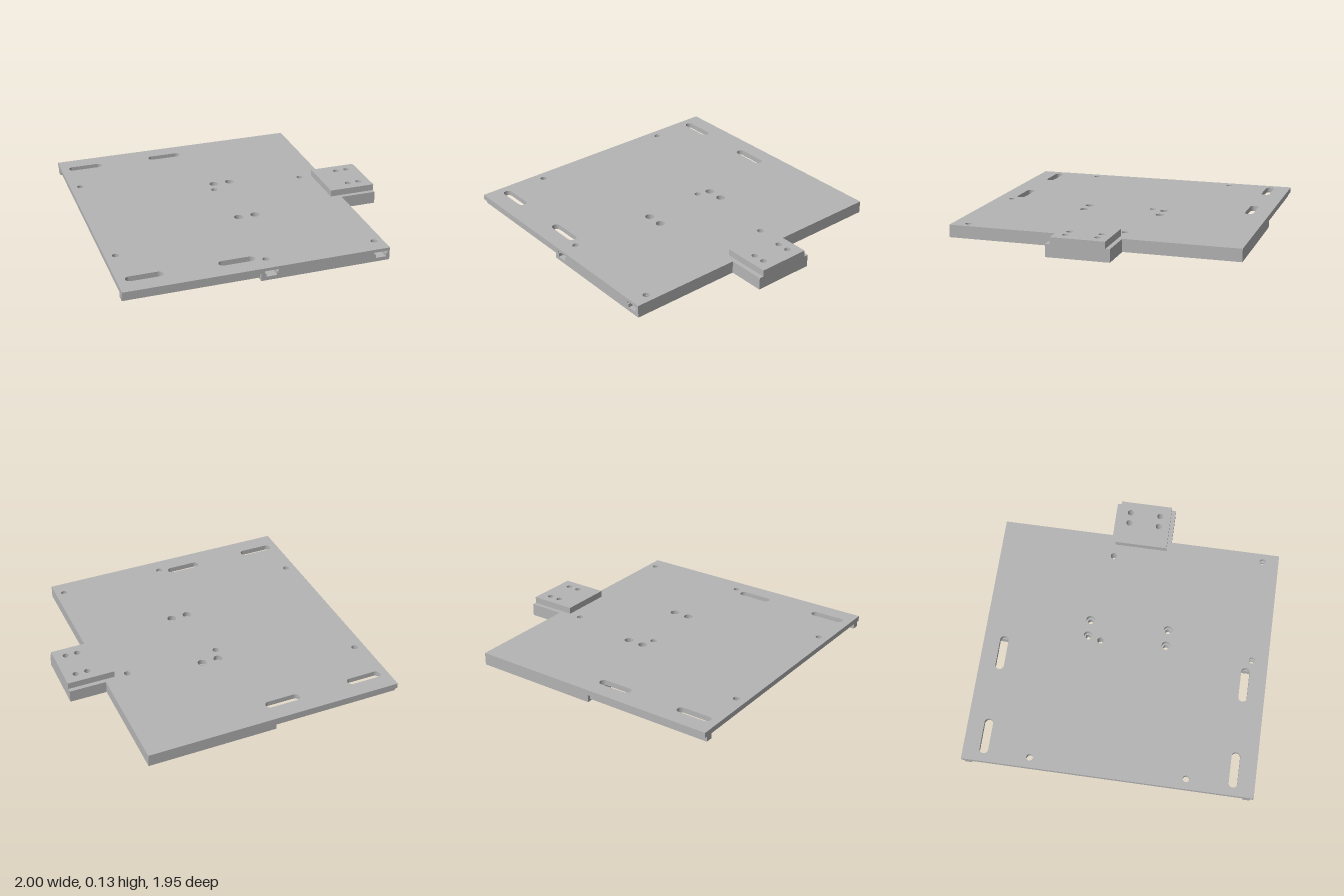
import * as THREE from 'three';

const STEP = -0.12, BACK = -1, EDGE = 0.75, HALF = 0.975;

const circle = (x, z, r) => new THREE.Path().absarc(x, -z, r, 0, Math.PI * 2, true);

// Elongated hole running along x
function slot(x, z, halfLength, r) {
  const p = new THREE.Path();
  p.absarc(x + halfLength, -z, r, -Math.PI / 2, Math.PI / 2, false);
  p.absarc(x - halfLength, -z, r, Math.PI / 2, Math.PI * 1.5, false);
  p.closePath();
  return p;
}

// Flat slab from an outline in [x, z], with holes, between two heights
function slab(name, outline, holes, y0, y1, material) {
  const shape = new THREE.Shape(outline.map(([x, z]) => new THREE.Vector2(x, -z)));
  shape.holes = holes;
  const geo = new THREE.ExtrudeGeometry(shape, { depth: y1 - y0, bevelEnabled: false, curveSegments: 16 });
  geo.rotateX(-Math.PI / 2).translate(0, y0, 0);
  const mesh = new THREE.Mesh(geo, material);
  mesh.name = name;
  return mesh;
}

// Nut pocket cut into the front edge, with a pointed inner end
const pocket = (x, w) => [
  [x - w, HALF], [x - w, 0.845], [x, 0.81], [x + w, 0.845], [x + w, HALF],
];

// Plate outline with the side tab and optional front pockets of half-width w
function outline(x0, w) {
  const front = w ? [...pocket(-0.05, w), ...pocket(0.69, w)] : [];
  return [
    [x0, HALF], ...front, [EDGE, HALF], [EDGE, 0.21], [1, 0.21],
    [1, -0.21], [EDGE, -0.21], [EDGE, -HALF], [x0, -HALF],
  ];
}

export function createModel() {
  const model = new THREE.Group();
  model.name = 'mountingPlate';
  const grey = new THREE.MeshStandardMaterial({ color: 0xb4b4b4 });
  grey.name = 'plain grey';

  // Hole patterns
  const tabHoles = () => [0.84, 0.92].flatMap((x) => [-0.105, 0.105].map((z) => circle(x, z, 0.021)));
  const centreHoles = (r) => [-0.025, 0.09].flatMap((x) => [-0.27, 0.27].map((z) => circle(x, z, r)));
  const backBolts = () => [-0.05, 0.59].map((x) => circle(x, -0.18, 0.022));
  const frontBolts = () => [-0.05, 0.69].map((x) => circle(x, 0.865, 0.022));
  const sideBolts = () => [-0.525, 0.52].map((z) => circle(-0.93, z, 0.022));
  const slots = () => [-0.825, -0.23].flatMap((x) => [-0.835, 0.83].map((z) => slot(x, z, 0.091, 0.029)));
  const underPockets = () => [circle(0.585, -0.29, 0.04), circle(-0.085, -0.245, 0.026)];

  // Thick half of the plate, below the thin half
  model.add(slab('lowerPlate', outline(STEP, 0),
    [...tabHoles(), ...centreHoles(0.018), ...backBolts(), ...frontBolts(), ...underPockets()], 0, 0.025, grey));
  model.add(slab('nutPocketLayer', outline(STEP, 0.035),
    [...tabHoles(), ...centreHoles(0.018), ...backBolts(), ...underPockets()], 0.025, 0.05, grey));

  // Full-width upper plate
  model.add(slab('pocketRoofLayer', outline(BACK, 0.046),
    [...tabHoles(), ...centreHoles(0.03), ...backBolts(), ...sideBolts(), ...slots()], 0.05, 0.065, grey));
  model.add(slab('topPlate', outline(BACK, 0),
    [...tabHoles(), ...centreHoles(0.03), ...backBolts(), ...frontBolts(), ...sideBolts(), ...slots()],
    0.065, 0.085, grey));

  // Raised block over the tab
  model.add(slab('tabBlock', [[0.68, 0.18], [1, 0.18], [1, -0.18], [0.68, -0.18]], tabHoles(), 0.085, 0.13, grey));

  // Guide rails under the thin half
  for (const side of [-1, 1]) {
    const rail = new THREE.Mesh(new THREE.BoxGeometry(STEP - BACK, 0.035, 0.05), grey);
    rail.position.set((STEP + BACK) / 2, 0.0325, side * 0.93);
    rail.name = side > 0 ? 'frontRail' : 'backRail';
    model.add(rail);
  }
  return model;
}
